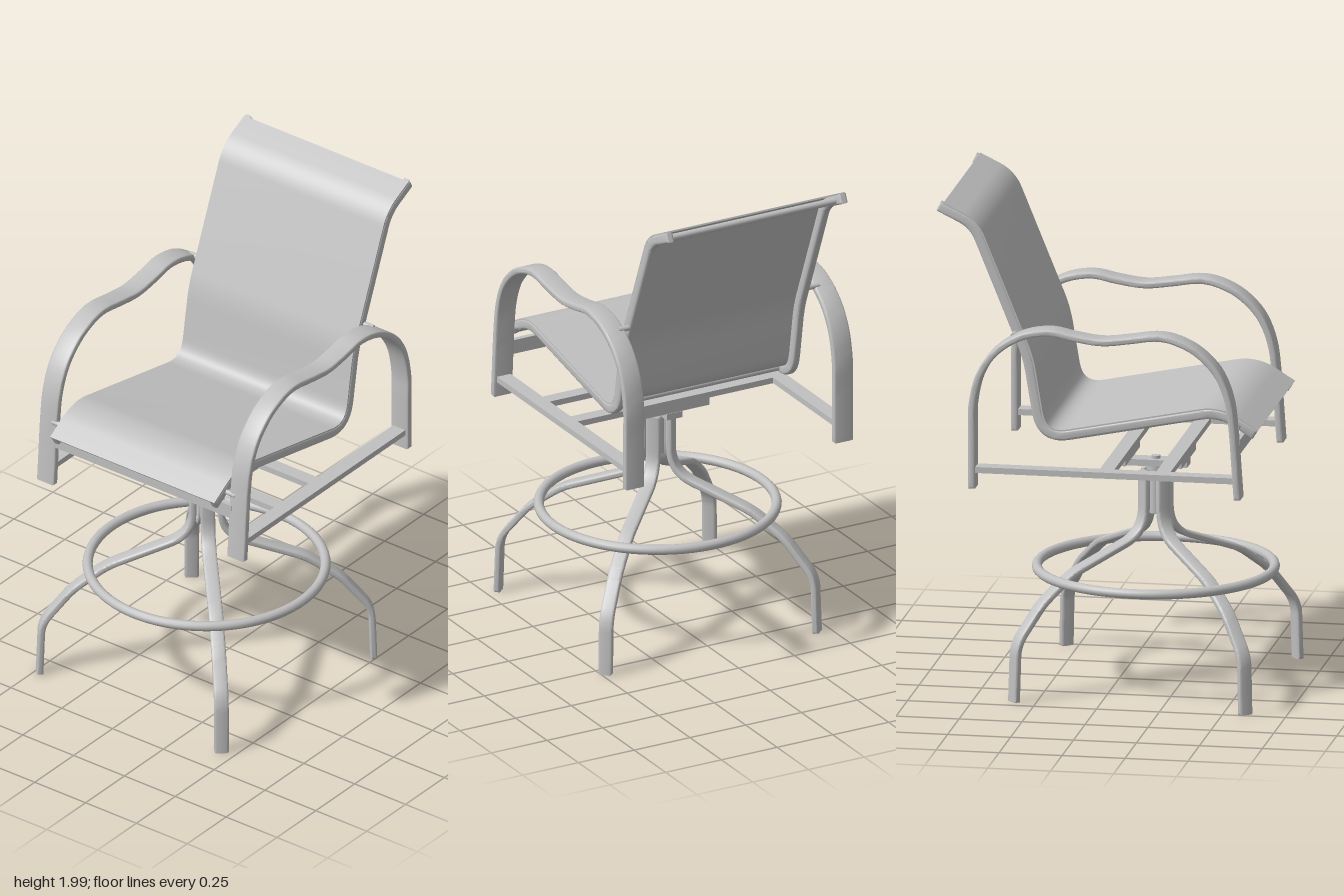
import * as THREE from 'three';
import { toCreasedNormals } from 'three/addons/utils/BufferGeometryUtils.js';

const grey = new THREE.MeshStandardMaterial({ color: 0xc0c0c0 });
grey.name = 'satin grey';

// Polyline with rounded corners; corners are [a, y, rounding length]
function roundedPath(corners) {
  const p = corners.map(([a, y]) => new THREE.Vector2(a, y));
  const path = new THREE.Path();
  path.moveTo(p[0].x, p[0].y);
  for (let i = 1; i < p.length - 1; i++) {
    const f = corners[i][2];
    const before = p[i - 1].clone().sub(p[i]).setLength(f).add(p[i]);
    const after = p[i + 1].clone().sub(p[i]).setLength(f).add(p[i]);
    path.lineTo(before.x, before.y);
    path.quadraticCurveTo(p[i].x, p[i].y, after.x, after.y);
  }
  path.lineTo(p[p.length - 1].x, p[p.length - 1].y);
  return path.getPoints(10);
}

// Points moved sideways from a path
function offsetPath(points, d) {
  return points.map((p, i) => {
    const a = points[Math.max(i - 1, 0)];
    const b = points[Math.min(i + 1, points.length - 1)];
    const t = b.clone().sub(a).normalize();
    return new THREE.Vector2(p.x - t.y * d, p.y + t.x * d);
  });
}

// Bent flat bar following a path, centred across its width
function bentBar(points, thickness, width, bevel) {
  const outline = [...offsetPath(points, thickness / 2), ...offsetPath(points, -thickness / 2).reverse()];
  const geo = new THREE.ExtrudeGeometry(new THREE.Shape(outline), {
    depth: width - 2 * bevel, bevelEnabled: bevel > 0, bevelThickness: bevel,
    bevelSize: bevel, bevelOffset: -bevel, bevelSegments: 3,
  });
  geo.translate(0, 0, -width / 2 + bevel);
  return toCreasedNormals(geo, 0.7);
}

// Same bar with its path lying in the z-y plane
const sideBar = (...args) => bentBar(...args).rotateY(-Math.PI / 2);

export function createModel() {
  const model = new THREE.Group();
  model.name = 'swivelBarChair';

  function add(name, geo, x = 0, y = 0, z = 0, parent = model) {
    const mesh = new THREE.Mesh(geo, grey);
    mesh.name = name;
    mesh.position.set(x, y, z);
    parent.add(mesh);
    return mesh;
  }
  const box = (name, w, h, d, x, y, z, parent) => add(name, new THREE.BoxGeometry(w, h, d), x, y, z, parent);
  const rod = (name, radius, length, x, y, z) =>
    add(name, new THREE.CylinderGeometry(radius, radius, length, 16).rotateZ(Math.PI / 2), x, y, z);

  // Base: four bent legs, foot ring and post, turned slightly on its axis
  const base = new THREE.Group();
  base.name = 'base';
  base.position.z = 0.145;
  base.rotation.y = -0.043;
  model.add(base);
  const legGeo = bentBar(roundedPath([
    [0.055, 0.855], [0.055, 0.61, 0.1], [0.39, 0.485, 0.05],
    [0.525, 0.385, 0.04], [0.647, 0.235, 0.05], [0.655, 0.005],
  ]), 0.026, 0.057, 0.008);
  for (let i = 0; i < 4; i++) {
    add('leg', legGeo, 0, 0, 0, base).rotation.y = Math.PI / 4 + i * Math.PI / 2;
  }
  add('footRing', new THREE.TorusGeometry(0.465, 0.02, 12, 72).rotateX(Math.PI / 2), 0, 0.466, 0, base);
  add('post', new THREE.CylinderGeometry(0.025, 0.025, 0.2, 20), 0, 0.78, 0, base);
  add('postCap', new THREE.CylinderGeometry(0.037, 0.037, 0.018, 20), 0, 0.864, 0, base);

  // Swivel mount
  box('swivelBar', 0.07, 0.026, 0.265, 0, 0.886, 0.143);
  add('swivelBolt', new THREE.CylinderGeometry(0.018, 0.018, 0.014, 16), 0, 0.904, 0.145);
  for (const z of [0.255, 0.032]) {
    box('mountBar', 0.315, 0.034, 0.043, 0, 0.917, z);
    box('underSeatCrossBar', 0.89, 0.024, 0.057, 0, 0.946, z);
  }
  box('frontCrossBar', 0.88, 0.058, 0.022, 0, 1.07, 0.548);

  // Arms and seat rails, mirrored
  const armCurve = new THREE.SplineCurve([
    [0.559, 0.872], [0.55, 1.0], [0.539, 1.15], [0.522, 1.27], [0.478, 1.375], [0.4, 1.455], [0.31, 1.499],
    [0.23, 1.51], [0.13, 1.495], [0.02, 1.482], [-0.09, 1.495], [-0.19, 1.512], [-0.3, 1.49], [-0.4, 1.425],
    [-0.465, 1.33], [-0.494, 1.21], [-0.495, 1.1], [-0.495, 0.872],
  ].map(([z, y]) => new THREE.Vector2(z, y)));
  const armGeo = sideBar(armCurve.getPoints(80), 0.027, 0.086, 0.008);
  const seatPath = roundedPath([
    [0.612, 1.112], [0.472, 1.2, 0.08], [-0.236, 1.057, 0.11],
    [-0.29, 1.383, 0.06], [-0.505, 1.91, 0.06], [-0.645, 1.978],
  ]);
  const railGeo = sideBar(seatPath, 0.042, 0.034, 0.01);
  for (const s of [-1, 1]) {
    add('arm', armGeo, s * 0.468);
    add('seatRail', railGeo, s * 0.389);
    box('sideRail', 0.06, 0.024, 1.04, s * 0.468, 0.946, 0.03);
    rod('backBolt', 0.011, 0.06, s * 0.42, 1.48, -0.34);
    rod('frontBolt', 0.011, 0.06, s * 0.42, 1.145, 0.545);
  }

  // Sling stretched over the rails (path runs front to back, so its top side is on the negative offset)
  const slingPath = offsetPath(seatPath, -0.02);
  slingPath[slingPath.length - 1].lerp(slingPath[slingPath.length - 2], 0.12);
  add('sling', sideBar(slingPath, 0.006, 0.808, 0));

  // Spreader rods between the rails
  for (const [y, z] of [[1.122, 0.585], [1.075, -0.15], [1.955, -0.605]]) {
    rod('spreader', 0.014, 0.75, 0, y, z);
  }
  return model;
}
